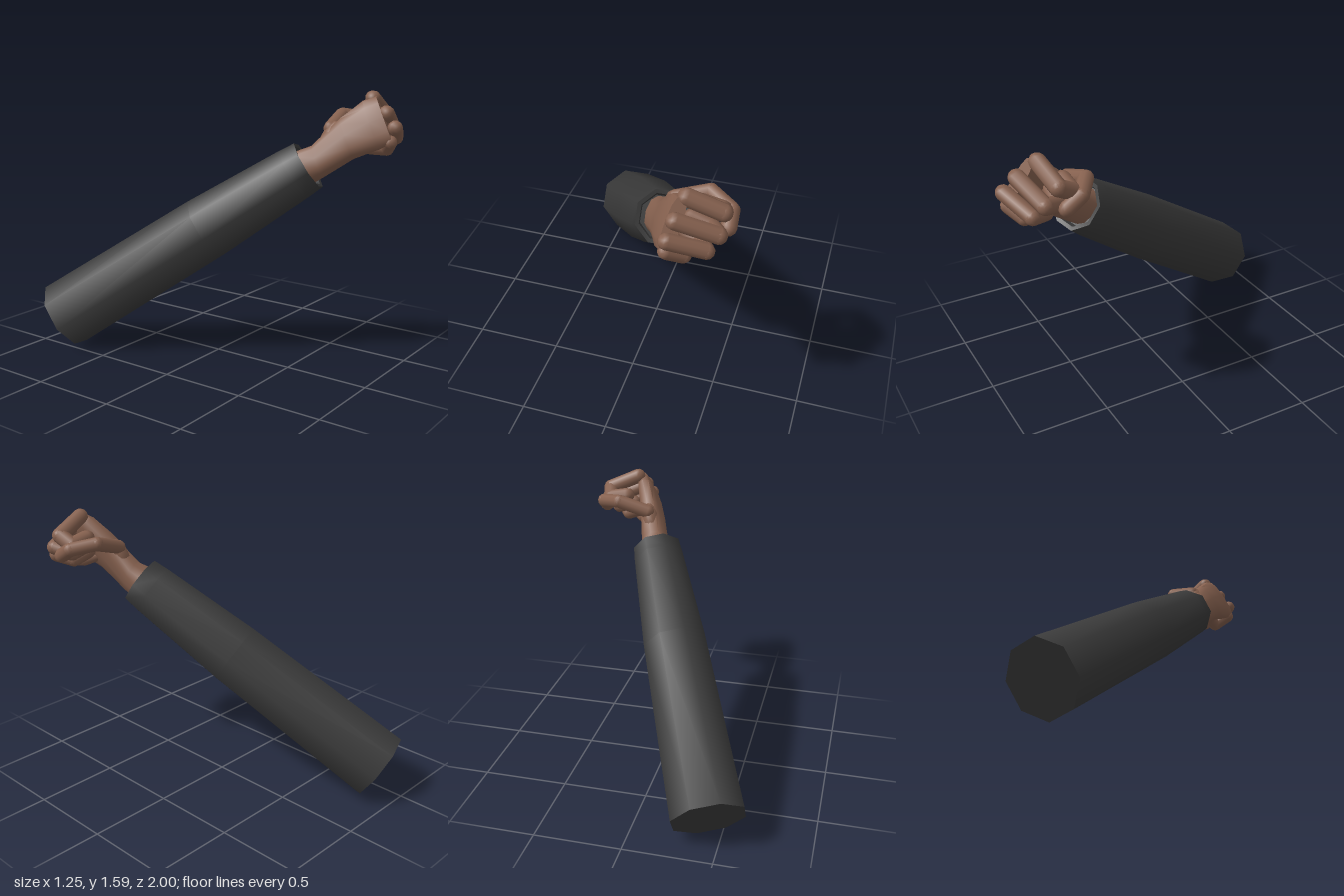
import * as THREE from 'three';
import { toCreasedNormals } from 'three/addons/utils/BufferGeometryUtils.js';

const V = (x, y, z) => new THREE.Vector3(x, y, z);
const UP = V(0, 1, 0);

// Closed skin over oval sections { c: centre, w: half width, t: half thickness }
function loft(sections, wide, thick, sides) {
  const pos = [], index = [];
  for (const s of sections) {
    for (let j = 0; j < sides; j++) {
      const a = (j / sides) * Math.PI * 2;
      const round = (v) => Math.sign(v) * Math.abs(v) ** 0.75;
      const p = s.c.clone()
        .addScaledVector(wide, s.w * round(Math.cos(a)))
        .addScaledVector(thick, s.t * round(Math.sin(a)));
      pos.push(p.x, p.y, p.z);
    }
  }
  const last = sections.length - 1, n = sides * sections.length;
  for (const s of [sections[0], sections[last]]) pos.push(s.c.x, s.c.y, s.c.z);
  for (let j = 0; j < sides; j++) {
    const k = (j + 1) % sides;
    for (let i = 0; i < last; i++) {
      const a = i * sides + j, b = i * sides + k;
      index.push(a, a + sides, b, b, a + sides, b + sides);
    }
    index.push(n, j, k, n + 1, last * sides + k, last * sides + j);
  }
  const g = new THREE.BufferGeometry();
  g.setAttribute('position', new THREE.Float32BufferAttribute(pos, 3));
  g.setIndex(index);
  return toCreasedNormals(g, 0.9);
}

export function createModel() {
  const model = new THREE.Group();
  model.name = 'arm';
  const skin = new THREE.MeshStandardMaterial({ color: 0x86614f });
  skin.name = 'brown skin';
  const cloth = new THREE.MeshStandardMaterial({ color: 0x3a3a3a });
  cloth.name = 'dark cloth';

  // Sleeve: eight-sided tapered tube with a closed back and a shallow cuff opening
  const back = V(-0.445, 0.18, -0.86), front = V(0.185, 1.17, 0.5);
  const axis = front.clone().sub(back), len = axis.length();
  axis.normalize();
  const profile = [
    [0, 0], [0.215, 0], [0.196, 1.08], [0.162, 1.70], [0.153, len],
    [0.13, len - 0.005], [0.12, len - 0.04], [0, len - 0.04],
  ].map(([r, y]) => new THREE.Vector2(r, y));
  const sleeve = new THREE.Mesh(toCreasedNormals(new THREE.LatheGeometry(profile, 8), 0.9), cloth);
  sleeve.name = 'sleeve';
  const side = V(0.075, 0.15, -0.14);
  side.addScaledVector(axis, -side.dot(axis)).normalize();
  sleeve.quaternion.setFromRotationMatrix(
    new THREE.Matrix4().makeBasis(side, axis, side.clone().cross(axis)));
  sleeve.position.copy(back);
  model.add(sleeve);

  // Hand: wrist flares out of the sleeve and widens to the knuckles
  const hand = new THREE.Group();
  hand.name = 'hand';
  model.add(hand);
  const wide = V(0.2, 0.85, -0.48).normalize();
  const thick = wide.clone().cross(axis).normalize();
  const palm = new THREE.Mesh(loft([
    { c: V(0.17, 1.14, 0.45), w: 0.105, t: 0.1 },
    { c: V(0.21, 1.195, 0.55), w: 0.095, t: 0.08 },
    { c: V(0.265, 1.33, 0.70), w: 0.125, t: 0.065 },
    { c: V(0.315, 1.41, 0.82), w: 0.15, t: 0.055 },
    { c: V(0.345, 1.445, 0.885), w: 0.145, t: 0.04 },
  ], wide, thick, 12), skin);
  palm.name = 'palm';
  hand.add(palm);

  // A finger is a chain of rounded segments through its joints
  const addFinger = (name, radius, joints) => {
    const finger = new THREE.Group();
    finger.name = name;
    for (let i = 0; i < joints.length - 1; i++) {
      const a = V(...joints[i]), b = V(...joints[i + 1]);
      const dir = b.clone().sub(a);
      const seg = new THREE.Mesh(new THREE.CapsuleGeometry(radius, dir.length(), 3, 10), skin);
      seg.name = name + 'Segment' + (i + 1);
      seg.position.copy(a).add(b).multiplyScalar(0.5);
      seg.quaternion.setFromUnitVectors(UP, dir.normalize());
      finger.add(seg);
    }
    hand.add(finger);
  };

  // Four curled fingers: knuckle, middle joint, end joint, tip
  addFinger('indexFinger', 0.046,
    [[0.385, 1.55, 0.79], [0.56, 1.475, 0.76], [0.54, 1.43, 0.68], [0.43, 1.45, 0.68]]);
  addFinger('middleFinger', 0.045,
    [[0.355, 1.475, 0.89], [0.555, 1.39, 0.83], [0.50, 1.36, 0.74], [0.40, 1.39, 0.73]]);
  addFinger('ringFinger', 0.043,
    [[0.335, 1.40, 0.955], [0.51, 1.325, 0.88], [0.45, 1.30, 0.79], [0.36, 1.34, 0.76]]);
  addFinger('littleFinger', 0.039,
    [[0.325, 1.32, 0.935], [0.40, 1.27, 0.88], [0.36, 1.275, 0.81], [0.30, 1.30, 0.76]]);

  // Thumb crosses over the curled fingers
  addFinger('thumb', 0.042,
    [[0.27, 1.38, 0.59], [0.45, 1.44, 0.565], [0.575, 1.415, 0.65], [0.58, 1.365, 0.73]]);

  // Thumb base muscle joining the wrist
  const pad = new THREE.Mesh(new THREE.SphereGeometry(1, 12, 8), skin);
  pad.name = 'thumbBase';
  pad.scale.set(0.055, 0.12, 0.06);
  pad.position.set(0.25, 1.31, 0.6);
  pad.quaternion.setFromUnitVectors(UP, V(0.25, 0.9, 0.25).normalize());
  hand.add(pad);

  return model;
}
